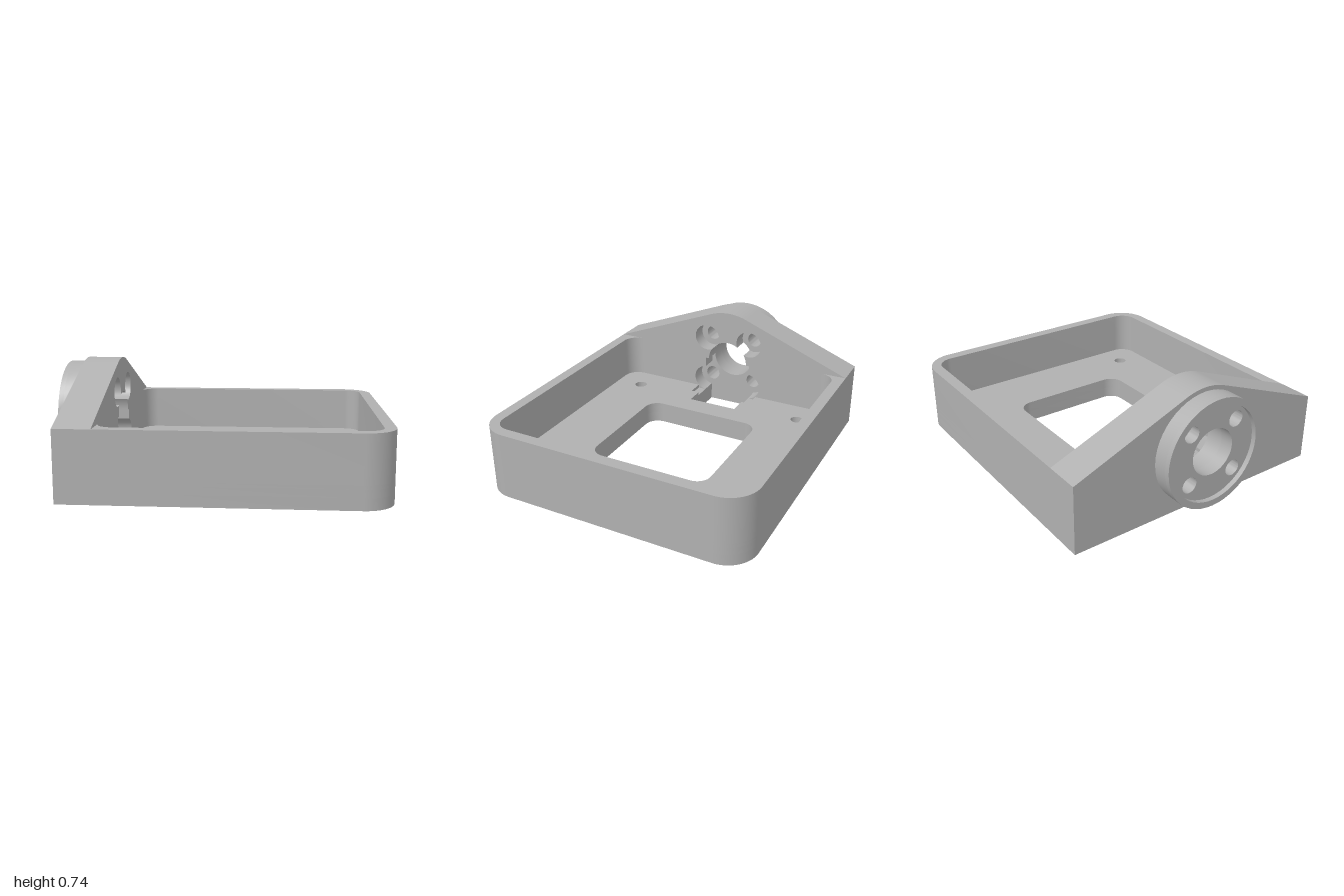
import * as THREE from 'three';
import { toCreasedNormals } from 'three/addons/utils/BufferGeometryUtils.js';

const PI = Math.PI;
const HX = -0.665;          // inner face of the upright plate
const MID = -0.775;         // bottom of its pockets
const BACK = -0.885;        // outer face of the upright plate
const W = 0.865;            // half width
const RIM = 0.425, FLOOR = 0.14;
const CY = 0.37, BORE = 0.145, SCREW = 0.05, POCKET = 0.093, OFF = 0.16;

export function createModel() {
  const group = new THREE.Group();
  const grey = new THREE.MeshStandardMaterial({ color: 0xb0b0b0 });

  const extrude = (shape, depth) =>
    new THREE.ExtrudeGeometry(shape, { depth, bevelEnabled: false, curveSegments: 24 });
  const add = (name, geometry) => {
    const mesh = new THREE.Mesh(toCreasedNormals(geometry, 0.5), grey);
    mesh.name = name;
    group.add(mesh);
  };
  // Layer between two heights, drawn in plan
  const layer = (name, shape, y0, y1) =>
    add(name, extrude(shape, y1 - y0).rotateX(-PI / 2).translate(0, y0, 0));
  // Plate between two x positions, drawn in side elevation
  const plate = (name, shape, x0, x1) =>
    add(name, extrude(shape, x1 - x0).rotateY(PI / 2).translate(x0, 0, 0));

  const circle = (x, y, r) => new THREE.Path().absarc(x, y, r, 0, PI * 2, true);
  const disc = (r) => new THREE.Shape().absarc(0, CY, r, 0, PI * 2, false);
  const arc = (cx, cy, r, a0, a1, n = 24) =>
    Array.from({ length: n + 1 }, (_, i) => {
      const a = a0 + ((a1 - a0) * i) / n;
      return new THREE.Vector2(cx + r * Math.cos(a), cy + r * Math.sin(a));
    });
  const roundedRect = (x0, x1, h, r) => [
    ...arc(x1 - r, -h + r, r, -PI / 2, 0, 12), ...arc(x1 - r, h - r, r, 0, PI / 2, 12),
    ...arc(x0 + r, h - r, r, PI / 2, PI, 12), ...arc(x0 + r, -h + r, r, PI, PI * 1.5, 12),
  ];
  const v = (x, y) => new THREE.Vector2(x, y);

  // Outer plan outline, rounded on one end only
  const outer = [
    v(HX, -W), ...arc(0.81, -W + 0.19, 0.19, -PI / 2, 0),
    ...arc(0.81, W - 0.19, 0.19, 0, PI / 2), v(HX, W),
  ];

  // Tray floor: slot at the upright, square window and four mounting holes
  const floorShape = (holeR, slotHalf) => {
    const s = new THREE.Shape([
      ...outer,
      ...(slotHalf > 0.17 ? [v(HX, slotHalf), v(-0.55, slotHalf), v(-0.55, 0.17)] : [v(HX, 0.17)]),
      v(-0.425, 0.17), v(-0.425, -0.17),
      ...(slotHalf > 0.17 ? [v(-0.55, -0.17), v(-0.55, -slotHalf), v(HX, -slotHalf)] : [v(HX, -0.17)]),
    ]);
    s.holes.push(new THREE.Path(roundedRect(-0.27, 0.53, 0.4, 0.09)));
    for (const x of [-0.475, 0.74])
      for (const z of [-0.61, 0.61]) s.holes.push(circle(x, z, holeR));
    return s;
  };
  layer('floorUnderside', floorShape(0.077, 0.17), 0, 0.07);
  layer('floorMiddle', floorShape(0.042, 0.17), 0.07, 0.117);
  layer('floorTop', floorShape(0.042, 0.225), 0.117, FLOOR);

  // Tray walls around three sides, with filleted inside corners
  const r = 0.1, ix = 0.93, iz = 0.795;
  const walls = new THREE.Shape([
    ...outer,
    ...arc(HX + r, iz - r, r, PI, PI / 2, 12),
    ...arc(ix - r, iz - r, r, PI / 2, 0, 12),
    ...arc(ix - r, -iz + r, r, 0, -PI / 2, 12),
    ...arc(HX + r, -iz + r, r, -PI / 2, -PI, 12),
  ]);
  layer('trayWalls', walls, FLOOR, RIM);

  // Upright plate outline: sloped shoulders meeting a rounded crown
  const slope = 0.364;
  const upright = [
    v(W, 0), v(W, RIM),
    ...arc(0, CY, 0.366, PI / 2 - slope, PI / 2 + slope),
    v(-W, RIM), v(-W, 0),
  ];
  const drill = (shape) => {
    shape.holes.push(circle(0, CY, BORE));
    for (const a of [-OFF, OFF])
      for (const b of [-OFF, OFF]) shape.holes.push(circle(a, CY + b, SCREW));
    return shape;
  };
  plate('uprightOuterHalf', drill(new THREE.Shape(upright)), BACK, MID);

  // Inner half: slot, bore and screw pockets merge into one opening
  const d = OFF * Math.SQRT2;
  const alpha = Math.acos((d * d + POCKET ** 2 - BORE ** 2) / (2 * d * POCKET));
  const beta = Math.acos((d * d + BORE ** 2 - POCKET ** 2) / (2 * d * BORE));
  const low = Math.acos(0.01 / POCKET);
  const half = [
    v(0.17, 0),
    ...arc(OFF, CY - OFF, POCKET, -low, low),
    v(0.17, CY),
    ...arc(0, CY, BORE, 0, PI / 4 - beta, 10),
    ...arc(OFF, CY + OFF, POCKET, -0.75 * PI + alpha, 1.25 * PI - alpha, 36).slice(1),
    ...arc(0, CY, BORE, PI / 4 + beta, PI / 2, 10).slice(1),
  ];
  const mirrored = half.map((p) => v(-p.x, p.y));
  const opening = [...mirrored, ...half.slice(0, -1).reverse()];
  plate('uprightInnerHalf', new THREE.Shape([...upright, ...opening]), MID, HX);

  // Round mounting boss with a raised lip
  plate('bossDisc', drill(disc(0.34)), -0.97, BACK);
  const lip = disc(0.34);
  lip.holes.push(circle(0, CY, 0.3));
  plate('bossLip', lip, -1, -0.97);

  return group;
}
